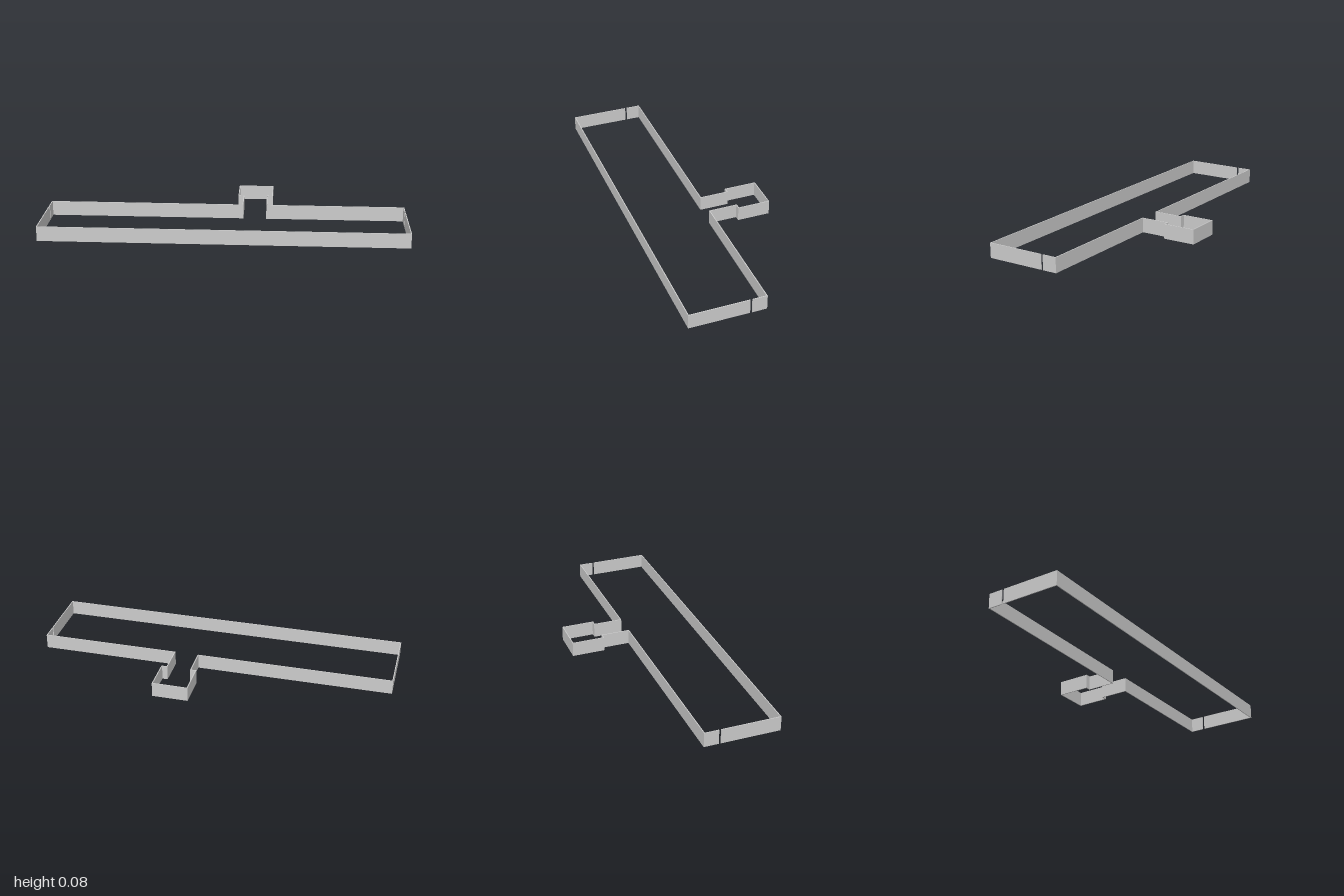
import * as THREE from 'three';

const HEIGHT = 0.082;
const THICKNESS = 0.005;

// Thin upright wall along a right-angled [x, z] path, thickened to its inner side
function makeWall(name, path, material) {
  const normals = path.slice(1).map(([x, z], i) => {
    const dx = x - path[i][0], dz = z - path[i][1];
    const length = Math.hypot(dx, dz);
    return [dz / length, -dx / length];
  });
  const inner = path.map(([x, z], i) => {
    // at a corner both neighbouring normals add up to the mitre
    const sides = [normals[i - 1], normals[i]].filter(Boolean);
    return sides.reduce((p, n) => [p[0] + n[0] * THICKNESS, p[1] + n[1] * THICKNESS], [x, z]);
  });
  const outline = [...path, ...inner.reverse()].map(([x, z]) => new THREE.Vector2(x, -z));
  const geometry = new THREE.ExtrudeGeometry(new THREE.Shape(outline), { depth: HEIGHT, bevelEnabled: false });
  geometry.rotateX(-Math.PI / 2);
  const mesh = new THREE.Mesh(geometry, material);
  mesh.name = name;
  return mesh;
}

export function createModel() {
  const group = new THREE.Group();
  group.name = 'wallOutline';
  const material = new THREE.MeshStandardMaterial({ color: 0xcccccc, side: THREE.DoubleSide });

  // Long front wall with its two side returns
  group.add(makeWall('frontWall', [[-1, 0.052], [-1, 0.38], [1, 0.38], [1, 0.052]], material));

  // Back wall with the narrow neck and the small square bay
  group.add(makeWall('backWall', [
    [1, 0.041], [1, -0.04], [0.23, -0.04], [0.23, -0.195], [0.26, -0.195], [0.26, -0.38],
    [0.06, -0.38], [0.06, -0.195], [0.09, -0.195], [0.09, -0.04], [-1, -0.04], [-1, 0.041],
  ], material));

  return group;
}
